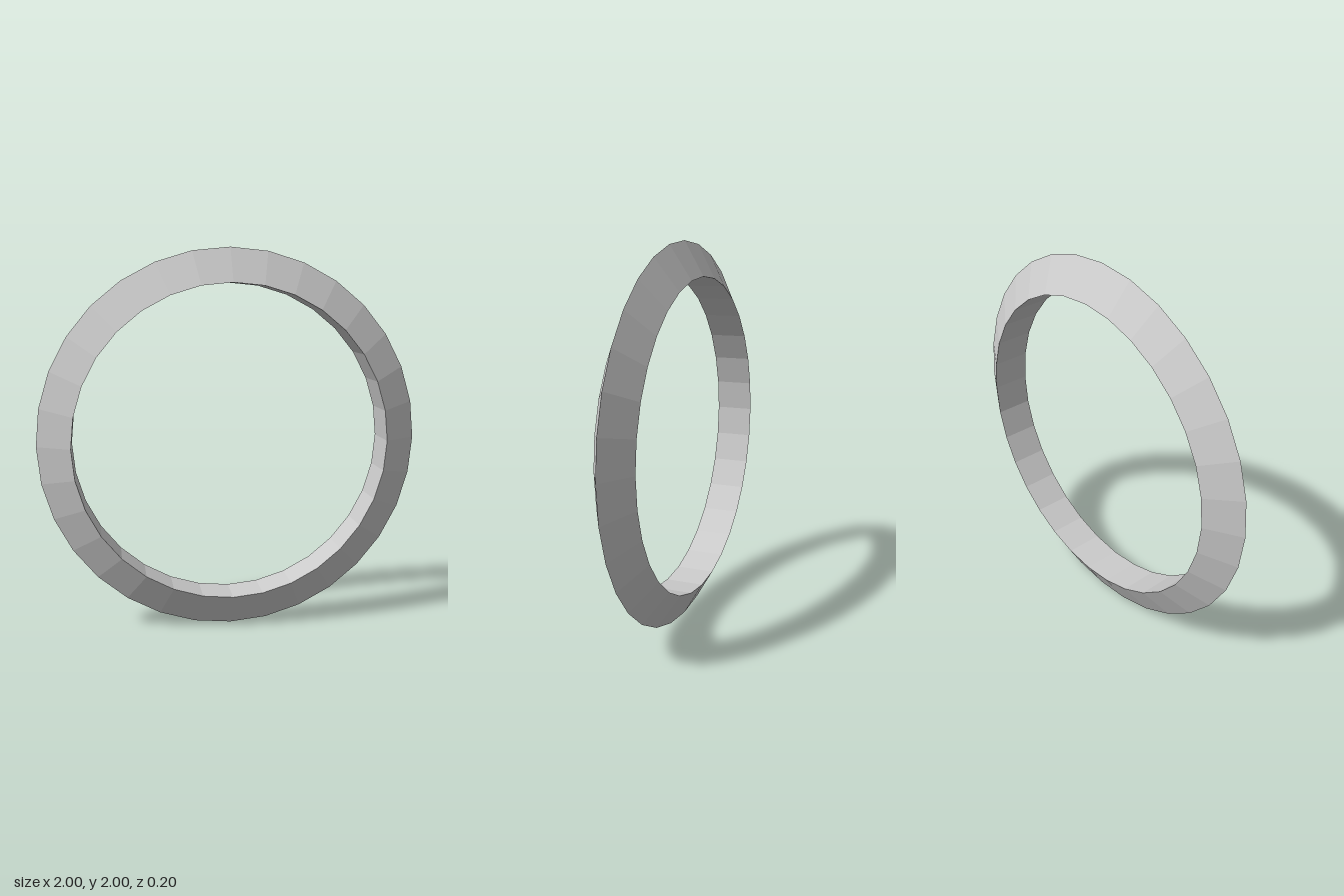
import * as THREE from 'three';

export function createModel() {
  const group = new THREE.Group();
  group.name = 'ring';

  // Triangular cross-section: sharp rim outwards, flat band inside
  const tubeRadius = 0.118;
  const band = new THREE.Mesh(
    new THREE.TorusGeometry(1 - tubeRadius, tubeRadius, 3, 32),
    new THREE.MeshStandardMaterial({ color: 0xcccccc, flatShading: true })
  );
  band.name = 'ringBand';
  band.position.y = 1;
  group.add(band);

  return group;
}
